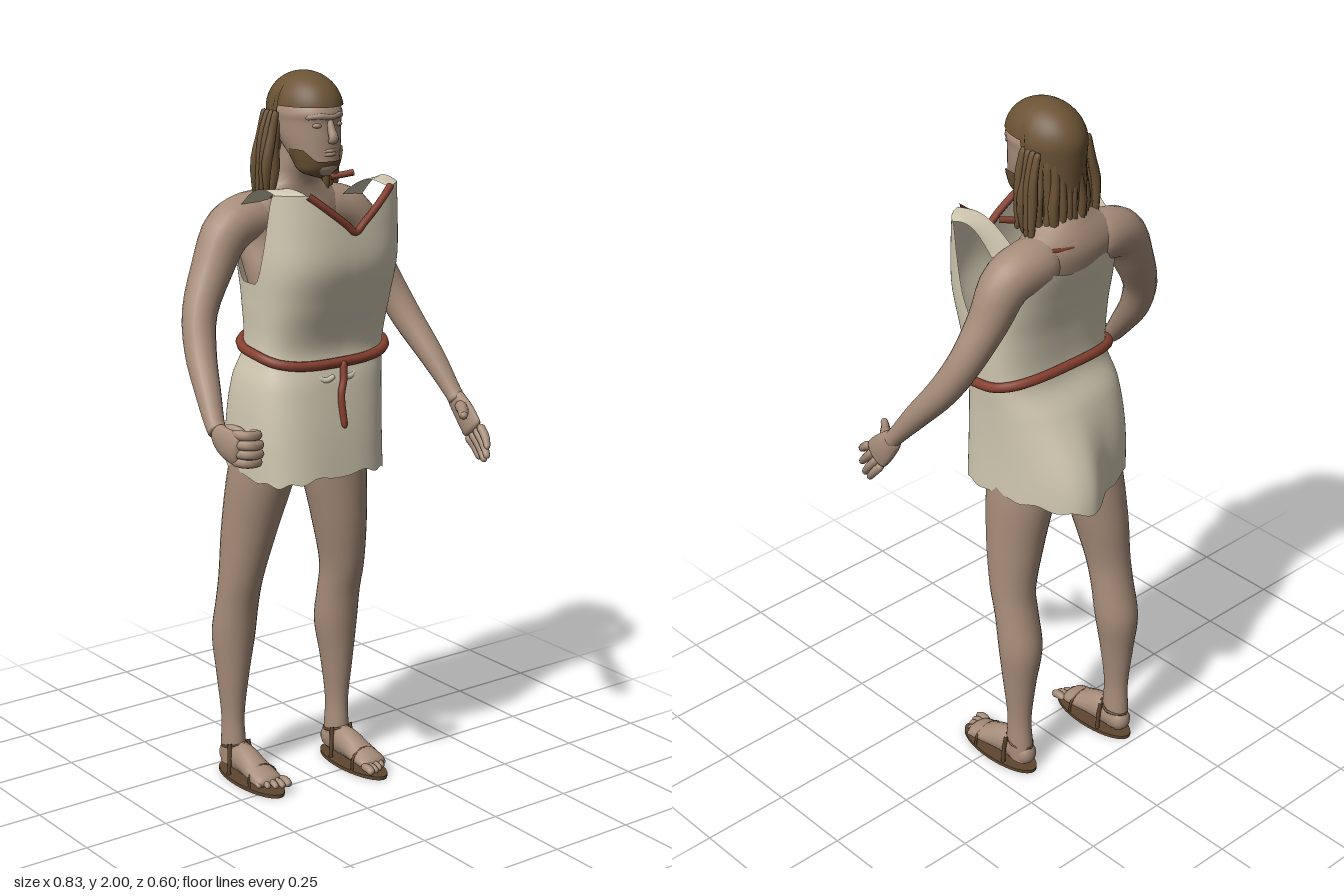
import * as THREE from 'three';

const material = (name, color, side = THREE.FrontSide) => {
  const m = new THREE.MeshStandardMaterial({ color, side });
  m.name = name;
  return m;
};
const V = (p) => new THREE.Vector3(p[0], p[1], p[2]);
const step = THREE.MathUtils.smoothstep;
const lerp = THREE.MathUtils.lerp;

// Smooth interpolation of rows [key, a, b, ...]
function sample(rows, key) {
  const n = rows.length;
  const k = THREE.MathUtils.clamp(key, rows[0][0], rows[n - 1][0]);
  let i = 0;
  while (i < n - 2 && k > rows[i + 1][0]) i++;
  const p = rows[i], q = rows[i + 1], o = rows[Math.max(i - 1, 0)], r = rows[Math.min(i + 2, n - 1)];
  const h = q[0] - p[0], t = (k - p[0]) / h, t2 = t * t, t3 = t2 * t;
  return p.slice(1).map((_, j) => {
    const c = j + 1;
    const m0 = (q[c] - o[c]) / (q[0] - o[0]) * h, m1 = (r[c] - p[c]) / (r[0] - p[0]) * h;
    return (2 * t3 - 3 * t2 + 1) * p[c] + (t3 - 2 * t2 + t) * m0 + (3 * t2 - 2 * t3) * q[c] + (t3 - t2) * m1;
  });
}

// Grid of quads from fn(u, v); the u direction may wrap around
function grid(nu, nv, fn, wrap) {
  const cols = wrap ? nu : nu + 1, pos = [], idx = [];
  for (let j = 0; j <= nv; j++)
    for (let i = 0; i < cols; i++) pos.push(...fn(i / nu, j / nv));
  for (let j = 0; j < nv; j++)
    for (let i = 0; i < nu; i++) {
      const a = j * cols + i, b = j * cols + (i + 1) % cols;
      idx.push(a, b, b + cols, a, b + cols, a + cols);
    }
  const g = new THREE.BufferGeometry();
  g.setAttribute('position', new THREE.Float32BufferAttribute(pos, 3));
  g.setIndex(idx);
  g.computeVertexNormals();
  return g;
}
const rings = (nu, nv, fn) => grid(nu, nv, (u, v) => fn(u * Math.PI * 2, v), true);

// Round-ended sweep through points [x, y, z, sideRadius, otherRadius]
function sweep(points, ref = [1, 0, 0], nu = 14, nv = 20) {
  const curve = new THREE.CatmullRomCurve3(points.map(V));
  const len = curve.getLength();
  const radii = points.map((p, i) => [i / (points.length - 1), p[3], p[4] ?? p[3]]);
  return rings(nu, nv, (a, v) => {
    const t = (1 - Math.cos(v * Math.PI)) / 2;
    const T = curve.getTangent(t), P = curve.getPoint(t);
    const S = V(ref).addScaledVector(T, -V(ref).dot(T)).normalize();
    const N = T.clone().cross(S);
    const [ra, rb] = sample(radii, t);
    const u = Math.min(1, Math.min(t, 1 - t) * len / Math.min(ra, rb));
    const f = Math.sqrt(Math.max(0, 1 - (1 - u) ** 2));
    return P.addScaledVector(S, Math.cos(a) * ra * f).addScaledVector(N, Math.sin(a) * rb * f).toArray();
  });
}

// Upright loft from rows [y, cx, cz, rx, rz]
const loft = (rows, nu = 28, nv = 40) => rings(nu, nv, (a, v) => {
  const y = lerp(rows[0][0], rows[rows.length - 1][0], v);
  const [cx, cz, rx, rz] = sample(rows, y);
  return [cx + rx * Math.cos(a), y, cz - rz * Math.sin(a)];
});
const tube = (pts, r, closed = false) =>
  new THREE.TubeGeometry(new THREE.CatmullRomCurve3(pts.map(V), closed), pts.length * 4, r, 8, closed);

// Tunic sections: y, centre x, half width, front z, back z
const TUNIC = [[0.9, 0, 0.2, 0.135, -0.235], [1.05, 0, 0.203, 0.12, -0.225], [1.18, 0.008, 0.203, 0.1, -0.195],
  [1.27, 0.023, 0.198, 0.082, -0.155], [1.4, 0.025, 0.205, 0.12, -0.155], [1.5, 0.025, 0.212, 0.148, -0.172],
  [1.6, 0.027, 0.213, 0.145, -0.19], [1.72, 0.028, 0.215, 0.13, -0.19]];
const BOX = 0.68;
const boxy = (c) => Math.sign(c) * Math.abs(c) ** BOX;
function tunicPoint(a, y, grow = 0) {
  const [cx, rx, zf, zb] = sample(TUNIC, y);
  const s = -Math.sin(a), x = cx + (rx + grow) * boxy(Math.cos(a));
  let z = -0.03 + boxy(s) * ((s > 0 ? zf + 0.03 : -0.03 - zb) + grow);
  if (s < 0) {
    const offset = Math.abs((x - 0.085) / 0.095) ** 2.6;
    z -= 0.07 * Math.exp(-offset) * (1 - step(y, 0.93, 1.25)) * Math.sqrt(-s);
  }
  return [x, y, z];
}
function tunicTop(a) {
  const s = -Math.sin(a), t = Math.abs(boxy(Math.cos(a)));
  if (s > 0 && t < 0.62) return 1.595 + 0.105 * t / 0.62;
  if (s > 0) return 1.455 + 0.245 * step(s, 0.03, 0.42);
  return 1.455 + (0.135 + 0.008 * Math.sin(a * 11)) * step(-s, 0.1, 0.6);
}
// Point on the front top edge at a share t of the half width
function frontEdge(t, grow = 0) {
  const a = -Math.acos(Math.sign(t) * Math.abs(t) ** (1 / BOX));
  return tunicPoint(a, tunicTop(a), grow);
}
const tunicHem = (a) => 0.925 + 0.008 * Math.sin(a * 3) + 0.005 * Math.sin(a * 13);

export function createModel() {
  const skin = material('skin', 0xa78d7a);
  const cloth = material('cloth', 0xd3cab3, THREE.DoubleSide);
  const hair = material('hair', 0x6b5335, THREE.DoubleSide);
  const rope = material('rope', 0x86402f);
  const leather = material('leather', 0x5e4630);
  const model = new THREE.Group();
  const add = (name, geometry, mat, parent = model) => {
    const mesh = new THREE.Mesh(geometry, mat);
    mesh.name = name;
    parent.add(mesh);
    return mesh;
  };
  const ball = (name, p, r, mat) => {
    const m = add(name, new THREE.SphereGeometry(1, 16, 12), mat);
    m.position.set(...p);
    m.scale.set(...r);
  };

  // Torso and neck
  add('torso', loft([[1.2, 0.01, -0.04, 0.16, 0.09], [1.4, 0.02, -0.055, 0.175, 0.092], [1.48, 0.015, -0.075, 0.18, 0.09],
    [1.56, 0.005, -0.105, 0.18, 0.078], [1.63, 0, -0.112, 0.175, 0.08], [1.675, 0, -0.108, 0.13, 0.07],
    [1.71, 0, -0.095, 0.07, 0.06], [1.76, 0, -0.07, 0.056, 0.055], [1.85, 0, -0.05, 0.05, 0.05]]), skin);

  // Head and face
  add('head', loft([[1.735, 0, 0.035, 0.02, 0.03], [1.755, 0, 0.02, 0.05, 0.056], [1.79, 0, 0.0, 0.066, 0.076],
    [1.83, 0, -0.02, 0.077, 0.095], [1.875, 0, -0.026, 0.081, 0.1], [1.9, 0, -0.025, 0.082, 0.103],
    [1.95, 0, -0.03, 0.06, 0.08]]), skin);
  add('nose', sweep([[0, 1.885, 0.066, 0.009], [0, 1.855, 0.079, 0.011], [0, 1.834, 0.088, 0.014, 0.011], [0, 1.824, 0.078, 0.013, 0.008]]), skin);
  add('brow', sweep([[-0.058, 1.888, 0.042, 0.007], [-0.028, 1.893, 0.066, 0.009], [0, 1.89, 0.073, 0.008],
    [0.028, 1.893, 0.066, 0.009], [0.058, 1.888, 0.042, 0.007]], [0, 1, 0]), skin);
  for (const [y, r] of [[1.802, 0.005], [1.793, 0.006]])
    add('lip', sweep([[-0.024, y - 0.002, 0.066, 0.003], [0, y, 0.077, r], [0.024, y - 0.002, 0.066, 0.003]], [0, 1, 0]), skin);
  for (const s of [-1, 1]) ball('eyelid', [s * 0.032, 1.868, 0.06], [0.015, 0.007, 0.01], skin);

  // Beard wraps the jaw, higher at the sides
  const BEARD = [[1.725, 0.005, 0.01], [1.74, 0.048, 0.042], [1.77, 0.063, 0.068], [1.82, 0.076, 0.085]];
  add('beard', rings(40, 14, (a, v) => {
    const y = 1.725 + v * (0.05 + 0.03 * (1 - step(-Math.sin(a), 0.4, 0.85)));
    const [rx, rz] = sample(BEARD, y);
    return [rx * Math.cos(a), y, 0.022 - (y - 1.725) * 0.22 - rz * Math.sin(a)];
  }), hair);

  // Hair: cap with a straight fringe, then ragged hanging locks
  add('hairCap', rings(48, 30, (a, v) => {
    const f = -Math.sin(a), low = 1.70 + 0.215 * step(f, -0.25, 0.0);
    const y = low + (2 - low) * Math.sin(v * Math.PI / 2);
    const k = y > 1.9 ? Math.sqrt(Math.max(0, 1 - ((y - 1.9) / 0.1) ** 2)) : 1 - 0.7 * (1.9 - y);
    return [0.091 * k * Math.cos(a), y, -0.04 + 0.121 * k * f];
  }), hair);
  for (let i = 0; i < 15; i++) {
    const a = Math.PI * (0.04 + i / 14 * 0.92), c = Math.cos(a), s = Math.sin(a);
    const end = 1.65 + 0.03 * Math.sin(i * 2.7), w = 0.012 + 0.003 * Math.sin(i * 5), sway = 0.008 * Math.sin(i * 3.7);
    add('hairLock', sweep([[0.078 * c, 1.88, -0.045 - 0.092 * s, w], [0.085 * c, 1.81, -0.05 - 0.092 * s, w],
      [0.09 * c + sway, 1.74, -0.055 - 0.09 * s, w * 1.1], [0.092 * c - sway, end, -0.055 - 0.092 * s, w * 0.5]], [1, 0, 0], 7, 12), hair);
  }
  for (const s of [-1, 1])
    for (let i = 0; i < 4; i++) {
      const z = -0.05 - i * 0.017, w = 0.004 * Math.sin(i * 4 + s);
      add('sideLock', sweep([[s * 0.086, 1.9, z, 0.009], [s * (0.102 + w), 1.83, z - 0.003, 0.012],
        [s * (0.11 - w), 1.76, z - 0.004, 0.014], [s * (0.115 + w), 1.685 - i * 0.008, z - 0.008, 0.007]], [1, 0, 0], 7, 12), hair);
    }

  // Tunic with open neck, armholes and flared hem
  add('tunic', rings(160, 48, (a, v) => tunicPoint(a, lerp(tunicHem(a), tunicTop(a), v))), cloth);
  // Straps arch from the front edge back onto the shoulders
  for (const s of [-1, 1])
    add('shoulderStrap', grid(10, 16, (u, v) => {
      const t = lerp(0.6, 0.93, u), [x, y, z] = frontEdge(s * t);
      return [lerp(x, 0.02 + s * (0.125 + 0.075 * u), v), lerp(y, 1.645, v) + 0.032 * Math.sin(v * Math.PI),
        lerp(z, s > 0 ? -0.075 : -0.09, v)];
    }), cloth);
  const collar = [];
  for (let t = -0.62; t <= 0.63; t += 0.124) collar.push(frontEdge(t, 0.003));
  add('collarTrim', tube(collar, 0.01), rope);
  add('backTrim', tube([[-0.04, 1.652, -0.178], [0, 1.65, -0.18], [0.05, 1.652, -0.178], [0.1, 1.655, -0.166]], 0.006), rope);
  add('shoulderTrim', tube([[0.1, 1.705, -0.06], [0.13, 1.71, -0.045], [0.157, 1.715, -0.032]], 0.009), rope);

  // Rope belt, higher at the back, with a hanging end
  const belt = [];
  for (let i = 0; i < 40; i++) {
    const a = i / 40 * Math.PI * 2;
    belt.push(tunicPoint(a, 1.265 + 0.03 * Math.sin(a), 0.006));
  }
  add('belt', tube(belt, 0.014, true), rope);
  add('beltEnd', sweep([[0.025, 1.24, 0.1, 0.01], [0.02, 1.19, 0.108, 0.01], [0.008, 1.15, 0.114, 0.01], [0.012, 1.06, 0.126, 0.009]]), rope);
  for (const s of [-1, 1])
    add('clothFold', sweep([[0.01 + s * 0.07, 1.208, 0.082, 0.007], [0.01 + s * 0.04, 1.192, 0.092, 0.009], [0.01 + s * 0.01, 1.2, 0.092, 0.008]], [0, 1, 0]), cloth);

  // Arms
  add('leftArm', sweep([[0.05, 1.61, -0.115, 0.07], [0.13, 1.61, -0.118, 0.07], [0.205, 1.585, -0.112, 0.066], [0.255, 1.49, -0.1, 0.055],
    [0.31, 1.385, -0.075, 0.046], [0.343, 1.29, -0.025, 0.042], [0.37, 1.19, 0.055, 0.034], [0.384, 1.11, 0.12, 0.025],
    [0.388, 1.08, 0.145, 0.024]], [0, 0, 1], 20, 40), skin);
  add('rightArm', sweep([[-0.05, 1.61, -0.115, 0.07], [-0.13, 1.61, -0.118, 0.07], [-0.2, 1.585, -0.112, 0.066], [-0.26, 1.49, -0.1, 0.056],
    [-0.318, 1.385, -0.073, 0.047], [-0.345, 1.29, -0.03, 0.042], [-0.37, 1.2, 0.04, 0.034], [-0.39, 1.13, 0.1, 0.026],
    [-0.395, 1.115, 0.12, 0.025]], [0, 0, 1], 20, 40), skin);

  // Open left hand
  add('leftPalm', sweep([[0.386, 1.1, 0.125, 0.02, 0.026], [0.392, 1.05, 0.17, 0.018, 0.04], [0.392, 1.005, 0.21, 0.014, 0.042]]), skin);
  [[0.37, 0.98, 0.295], [0.382, 0.948, 0.282], [0.393, 0.93, 0.258], [0.4, 0.93, 0.23]].forEach((tip, i) => {
    const k = i - 1.5, base = [0.392, 1.01 - k * 0.014, 0.207 - k * 0.017];
    const mid = base.map((b, j) => (b + tip[j]) / 2 + (j === 0 ? 0.006 : 0));
    add('leftFinger', sweep([[...base, 0.012], [...mid, 0.012], [...tip, 0.009]], [1, 0, 0], 8, 12), skin);
  });
  add('leftThumb', sweep([[0.384, 1.075, 0.155, 0.018], [0.362, 1.068, 0.198, 0.016], [0.337, 1.065, 0.23, 0.012], [0.325, 1.075, 0.25, 0.009]], [0, 1, 0], 8, 14), skin);

  // Closed right hand
  add('rightPalm', sweep([[-0.392, 1.12, 0.11, 0.022, 0.027], [-0.4, 1.1, 0.16, 0.018, 0.042], [-0.398, 1.092, 0.225, 0.018, 0.046]]), skin);
  for (let i = 0; i < 4; i++) {
    const y = 1.13 - i * 0.024, z = i === 0 || i === 3 ? -0.008 : 0;
    add('rightFinger', sweep([[-0.4, y, 0.2 + z, 0.014], [-0.385, y, 0.238 + z, 0.014], [-0.352, y - 0.004, 0.238 + z, 0.013],
      [-0.334, y - 0.008, 0.215 + z, 0.012], [-0.345, y - 0.008, 0.195 + z, 0.01]], [0, 1, 0], 8, 16), skin);
  }
  add('rightThumb', sweep([[-0.39, 1.12, 0.13, 0.019], [-0.365, 1.125, 0.155, 0.015], [-0.356, 1.118, 0.185, 0.011]], [0, 1, 0], 8, 14), skin);

  // Legs, feet and sandals; the right leg stands further back
  for (const s of [1, -1]) {
    const name = s > 0 ? 'left' : 'right', back = s > 0 ? 0 : -0.075;
    const rows = [[0.03, 0.155, -0.105, 0.03, 0.04], [0.09, 0.155, -0.1, 0.032, 0.042], [0.17, 0.156, -0.1, 0.03, 0.038],
      [0.3, 0.155, -0.1, 0.044, 0.051], [0.42, 0.151, -0.1, 0.06, 0.064], [0.52, 0.149, -0.083, 0.06, 0.062],
      [0.6, 0.147, -0.066, 0.061, 0.067], [0.75, 0.131, -0.06, 0.076, 0.086], [0.92, 0.111, -0.063, 0.092, 0.1],
      [1.12, 0.09, -0.05, 0.09, 0.09]];
    add(name + 'Leg', loft(rows.map(([y, x, z, a, b]) => [y, s * x, z + back * (1 - step(y, 0.6, 1.1)), a, b])), skin);
    const foot = new THREE.Group();
    foot.name = name + 'Foot';
    foot.position.set(s * 0.153, 0, back);
    model.add(foot);
    add('foot', sweep([[0, 0.042, -0.15, 0.028, 0.03], [0, 0.055, -0.1, 0.032, 0.044], [0, 0.056, -0.04, 0.036, 0.044],
      [s * 0.002, 0.041, 0.03, 0.043, 0.028], [s * 0.002, 0.031, 0.09, 0.042, 0.016]]), skin, foot);
    for (let i = 0; i < 5; i++) {
      const x = s * (i * 0.018 - 0.035), z = 0.118 - i * i * 0.0025, r = i ? 0.009 : 0.012;
      add('toe', sweep([[x, 0.032, z - 0.045, r], [x, 0.032, z - 0.01, r], [x, 0.023, z + 0.004, r * 0.85]], [1, 0, 0], 8, 10), skin, foot);
    }
    const sole = add('sole', new THREE.CylinderGeometry(1, 1, 0.01, 36), leather, foot);
    sole.position.set(0, 0.005, -0.014);
    sole.scale.set(0.054, 1, 0.143);
    add('toeStrap', tube([[-0.046, 0.008, 0.04], [-0.041, 0.045, 0.038], [0, 0.066, 0.034], [0.042, 0.045, 0.038], [0.048, 0.008, 0.04]], 0.004), leather, foot);
    add('ankleStrap', tube([[0.034, 0.085, -0.1], [0, 0.08, -0.143], [-0.034, 0.085, -0.1], [0, 0.098, -0.052]], 0.004, true), leather, foot);
    for (const k of [-1, 1])
      add('sideStrap', tube([[k * 0.04, 0.008, -0.07], [k * 0.037, 0.05, -0.07], [k * 0.032, 0.1, -0.075]], 0.006), leather, foot);
  }
  return model;
}
